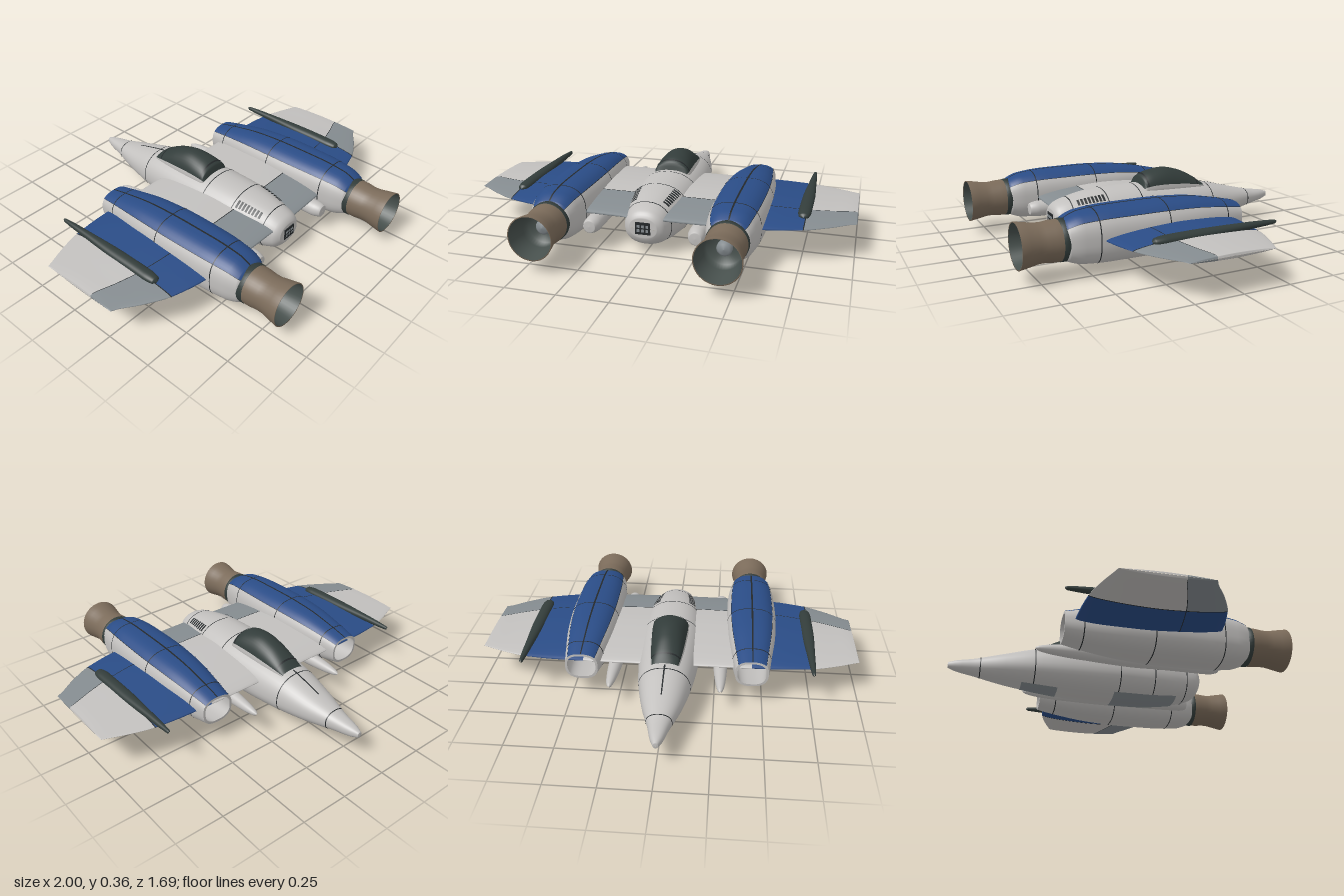
import * as THREE from 'three';

const paint = (name, color) => {
  const m = new THREE.MeshStandardMaterial({ color });
  m.name = name;
  return m;
};
const PI = Math.PI;

// Monotone cubic interpolation of sections [z, centreX, halfWidth, top, mid, bottom]
function sectionAt(secs, z) {
  let i = 0;
  while (i < secs.length - 2 && z > secs[i + 1][0]) i++;
  const slope = (k, c) => (secs[k + 1][c] - secs[k][c]) / (secs[k + 1][0] - secs[k][0]);
  const tangent = (k, c) => {
    if (k === 0) return slope(0, c);
    if (k === secs.length - 1) return slope(k - 1, c);
    const a = slope(k - 1, c), b = slope(k, c);
    return a * b <= 0 ? 0 : (2 * a * b) / (a + b);
  };
  const h = secs[i + 1][0] - secs[i][0], t = (z - secs[i][0]) / h, u = 1 - t;
  return secs[i].map((p, c) => c === 0 ? z
    : (1 + 2 * t) * u * u * p + t * u * u * h * tangent(i, c)
      + t * t * (3 - 2 * t) * secs[i + 1][c] - t * t * u * h * tangent(i + 1, c));
}

// Skin over the sections, limited to a range of z and angle and lifted off the surface
function skin(secs, { z0 = secs[0][0], z1 = secs[secs.length - 1][0], a0 = 0, a1 = 2 * PI,
  lift = [0, 0], e = 1, sub = 4, flip = false } = {}) {
  const zs = [z0];
  for (let i = 0; i < secs.length - 1; i++)
    for (let k = 1; k <= sub; k++) {
      const z = secs[i][0] + (secs[i + 1][0] - secs[i][0]) * k / sub;
      if (z > z0 + 1e-6 && z < z1 - 1e-6) zs.push(z);
    }
  zs.push(z1);
  const closed = a1 - a0 > 2 * PI - 1e-6;
  const na = Math.max(2, Math.ceil((a1 - a0) / (2 * PI) * 40)), cols = closed ? na : na + 1;
  const pow = (v) => Math.sign(v) * Math.pow(Math.abs(v), e);
  const pos = [], idx = [];
  zs.forEach((z, i) => {
    const [, cx, w, top, mid, bot] = sectionAt(secs, z);
    const l = lift[0] + (lift[1] - lift[0]) * i / (zs.length - 1);
    for (let j = 0; j < cols; j++) {
      const a = a0 + (a1 - a0) * j / na, c = pow(Math.cos(a)), s = pow(Math.sin(a));
      pos.push(cx + (w + l) * c, mid + ((s > 0 ? top - mid : mid - bot) + l) * s, z);
      if (i === zs.length - 1 || j === na) continue;
      const p = i * cols + j, q = i * cols + (j + 1) % cols, r = q + cols, t = p + cols;
      if (flip) idx.push(p, r, q, p, t, r); else idx.push(p, q, r, p, r, t);
    }
  });
  const g = new THREE.BufferGeometry();
  g.setAttribute('position', new THREE.Float32BufferAttribute(pos, 3));
  g.setIndex(idx);
  g.computeVertexNormals();
  return g;
}

export function createModel() {
  const white = paint('hull white', 0xc2c0be), blue = paint('panel blue', 0x2a4c86);
  const grey = paint('flap grey', 0x858c90), dark = paint('dark glass', 0x333d3b);
  const brown = paint('nozzle brown', 0x7b6b5a), line = paint('seam black', 0x24282a);
  const inner = paint('nozzle lining', 0x47504d);
  const model = new THREE.Group();
  model.name = 'twinEngineFighter';
  const add = (parent, name, geo, mat) => {
    const m = new THREE.Mesh(geo, mat);
    m.name = name;
    parent.add(m);
    return m;
  };
  const seams = (parent, secs, list, e) => list.forEach((z) =>
    add(parent, 'panelSeam', skin(secs, { z0: z, z1: z + 0.005, lift: [0.0015, 0.0015], e }), line));

  // Fuselage, nose towards -z
  const body = [
    [-0.845, 0, 0.002, 0.131, 0.13, 0.129], [-0.843, 0, 0.013, 0.146, 0.13, 0.115],
    [-0.7, 0, 0.055, 0.175, 0.13, 0.083], [-0.55, 0, 0.1, 0.212, 0.13, 0.056],
    [-0.36, 0, 0.138, 0.258, 0.13, 0.033], [-0.15, 0, 0.16, 0.278, 0.13, 0.014],
    [0.05, 0, 0.17, 0.288, 0.13, 0.005], [0.2, 0, 0.165, 0.286, 0.13, 0.006],
    [0.32, 0, 0.148, 0.276, 0.13, 0.016], [0.43, 0, 0.12, 0.255, 0.135, 0.034],
    [0.49, 0, 0.102, 0.235, 0.14, 0.058], [0.52, 0, 0.072, 0.205, 0.148, 0.095],
    [0.522, 0, 0.06, 0.149, 0.148, 0.147]];
  add(model, 'fuselage', skin(body, { e: 0.9 }), white);
  seams(model, body, [-0.68, -0.4, 0.05, 0.24, 0.43], 0.9);
  add(model, 'noseSpine', skin(body, { z0: -0.56, z1: -0.37, a0: PI / 2 - 0.02, a1: PI / 2 + 0.02, lift: [0.002, 0.002], e: 0.9 }), line);
  [[-0.46, -0.27, 0.4], [0.03, 0.38, 0.55]].forEach(([z0, z1, a]) =>
    add(model, 'bellyPanel', skin(body, { z0, z1, a0: 1.5 * PI - a, a1: 1.5 * PI + a, lift: [0.003, 0.003], e: 0.9 }), grey));

  // Slatted vents on the rear deck
  for (const c of [0.92, PI - 0.92])
    for (let i = 0; i < 8; i++)
      add(model, 'ventSlat', skin(body, { z0: 0.26 + i * 0.019, z1: 0.272 + i * 0.019, a0: c - 0.15, a1: c + 0.15, lift: [0.005, 0.005], e: 0.9 }), line);

  // Tail vent
  add(model, 'tailVent', new THREE.BoxGeometry(0.076, 0.062, 0.006), line).position.set(0, 0.15, 0.523);
  for (const x of [-0.022, 0, 0.022])
    for (const y of [0.139, 0.161])
      add(model, 'tailVentCell', new THREE.BoxGeometry(0.014, 0.014, 0.003), grey).position.set(x, y, 0.526);

  // Canopy with sills and hoops
  const glass = [
    [-0.365, 0, 0.066, 0.262, 0.245, 0.2], [-0.3, 0, 0.076, 0.306, 0.25, 0.2],
    [-0.22, 0, 0.085, 0.343, 0.255, 0.2], [-0.13, 0, 0.091, 0.362, 0.26, 0.2],
    [-0.05, 0, 0.095, 0.352, 0.265, 0.2], [0.005, 0, 0.095, 0.328, 0.265, 0.2],
    [0.02, 0, 0.085, 0.275, 0.265, 0.2]];
  add(model, 'canopyGlass', skin(glass, { a0: 0, a1: PI }), dark);
  for (const a0 of [-0.5, PI - 0.22])
    add(model, 'canopySill', skin(glass, { a0, a1: a0 + 0.72, lift: [0.005, 0.005] }), white);
  [-0.325, -0.01].forEach((z) =>
    add(model, 'canopyHoop', skin(glass, { z0: z, z1: z + 0.008, a1: PI, lift: [0.003, 0.003] }), line));

  const nacelle = [
    [-0.31, 0, 0.086, 0.255, 0.185, 0.108], [-0.2, 0, 0.103, 0.28, 0.185, 0.087],
    [0, 0, 0.13, 0.312, 0.185, 0.062], [0.2, 0, 0.14, 0.321, 0.185, 0.052],
    [0.4, 0, 0.136, 0.32, 0.185, 0.052], [0.55, 0, 0.121, 0.308, 0.184, 0.06],
    [0.615, 0, 0.104, 0.283, 0.182, 0.08], [0.63, 0, 0.09, 0.27, 0.181, 0.092]];
  const lathe = (pts) => new THREE.LatheGeometry(pts.map(([r, z]) => new THREE.Vector2(r, z)), 40).rotateX(PI / 2);

  for (const side of [1, -1]) {
    const tag = side > 0 ? 'left' : 'right';

    // Engine nacelle: blue upper panel, white shell, open intake
    const engine = new THREE.Group();
    engine.name = tag + 'Engine';
    engine.position.x = side * 0.44;
    model.add(engine);
    const e = 0.77, edge = 0.7;
    add(engine, 'nacelleTop', skin(nacelle, { a0: edge, a1: PI - edge, e }), blue);
    add(engine, 'nacelleShell', skin(nacelle, { a0: PI - edge, a1: 2 * PI + edge, e }), white);
    add(engine, 'intakeLip', skin(nacelle, { z1: -0.309, lift: [-0.012, 0], e }), white);
    add(engine, 'intakeDuct', skin(nacelle, { z1: -0.1, lift: [-0.012, -0.02], e, flip: true }), white);
    add(engine, 'intakeFace', new THREE.CircleGeometry(0.11, 32).rotateY(PI), inner).position.set(0, 0.185, -0.12);
    seams(engine, nacelle, [-0.22, 0.125, 0.48], e);
    for (const a of [edge, PI / 2, PI - edge])
      add(engine, 'panelEdge', skin(nacelle, { a0: a - 0.012, a1: a + 0.012, lift: [0.0015, 0.0015], e }), line);

    // Exhaust nozzle
    const nozzle = new THREE.Group();
    nozzle.name = 'nozzle';
    nozzle.position.y = 0.18;
    engine.add(nozzle);
    add(nozzle, 'collar', lathe([[0.08, 0.61], [0.102, 0.615], [0.102, 0.645], [0.09, 0.65]]), dark);
    add(nozzle, 'nozzleShell', lathe([[0.099, 0.645], [0.099, 0.68], [0.094, 0.72], [0.095, 0.755], [0.104, 0.8], [0.112, 0.845], [0.107, 0.845]]), brown);
    add(nozzle, 'nozzleLining', lathe([[0.107, 0.845], [0.097, 0.79], [0.088, 0.74], [0.085, 0.69], [0.03, 0.68], [0, 0.68]]), inner);
    add(nozzle, 'nozzleHub', lathe([[0.036, 0.68], [0.036, 0.705], [0.025, 0.715], [0, 0.72]]), grey);

    // Wing: sections run along the span, then turn sideways
    const wing = [[0.08, -0.265, 0.49, 0.052], [0.3, -0.265, 0.485, 0.05], [0.56, -0.262, 0.465, 0.043],
      [0.755, -0.245, 0.42, 0.03], [0.88, -0.21, 0.355, 0.021], [0.996, -0.165, 0.28, 0.012], [1, -0.164, 0.279, 0.0005]]
      .map(([x, front, back, t]) => [x, -side * (front + back) / 2, (back - front) / 2, 0.187 + t, 0.187, 0.187 - t]);
    const tail = side > 0 ? PI : 0, hinge = 1.09;
    const wingPart = (name, mat, opt) =>
      add(model, tag + name, skin(wing, { e: 1.25, ...opt }).rotateY(side * PI / 2), mat);
    wingPart('WingPaintedPanel', blue, { z0: 0.44, z1: 0.755 });
    [['Inner', 0.08, 0.44], ['Outer', 0.755, 1]].forEach(([n, z0, z1]) => {
      wingPart(n + 'Wing', white, { z0, z1, a0: tail + hinge, a1: tail + 2 * PI - hinge });
      wingPart(n + 'Flap', grey, { z0, z1, a0: tail - hinge, a1: tail + hinge });
    });
    for (const a of [tail - hinge, tail + hinge])
      wingPart('FlapHinge', line, { z1: 0.99, a0: a - 0.006, a1: a + 0.006, lift: [0.0012, 0.0012] });
    wingPart('WingSeam', line, { z0: 0.755, z1: 0.76, lift: [0.0012, 0.0012] });

    // Slender dark pod on the wing
    const podX = side * 0.747;
    const pod = [[-0.35, 0.003, 0.222, 0.216], [-0.34, 0.009, 0.228, 0.208], [-0.15, 0.021, 0.236, 0.198],
      [0.08, 0.032, 0.238, 0.19], [0.25, 0.032, 0.235, 0.19], [0.305, 0.024, 0.228, 0.194], [0.32, 0.002, 0.212, 0.208]]
      .map(([z, w, t, b]) => [z, podX, w, t, (t + b) / 2, b]);
    add(model, tag + 'WingPod', skin(pod), dark);

    // White fairing between fuselage and nacelle
    const fairing = [[-0.42, 0.282, 0.004], [-0.4, 0.282, 0.014], [-0.33, 0.281, 0.026], [-0.2, 0.278, 0.036],
      [0.1, 0.272, 0.044], [0.4, 0.267, 0.044], [0.5, 0.265, 0.043], [0.549, 0.268, 0.032], [0.552, 0.268, 0.001]]
      .map(([z, x, r]) => [z, side * x, r, 0.138 + r, 0.138, 0.138 - r]);
    add(model, tag + 'Fairing', skin(fairing), white);
  }
  return model;
}
